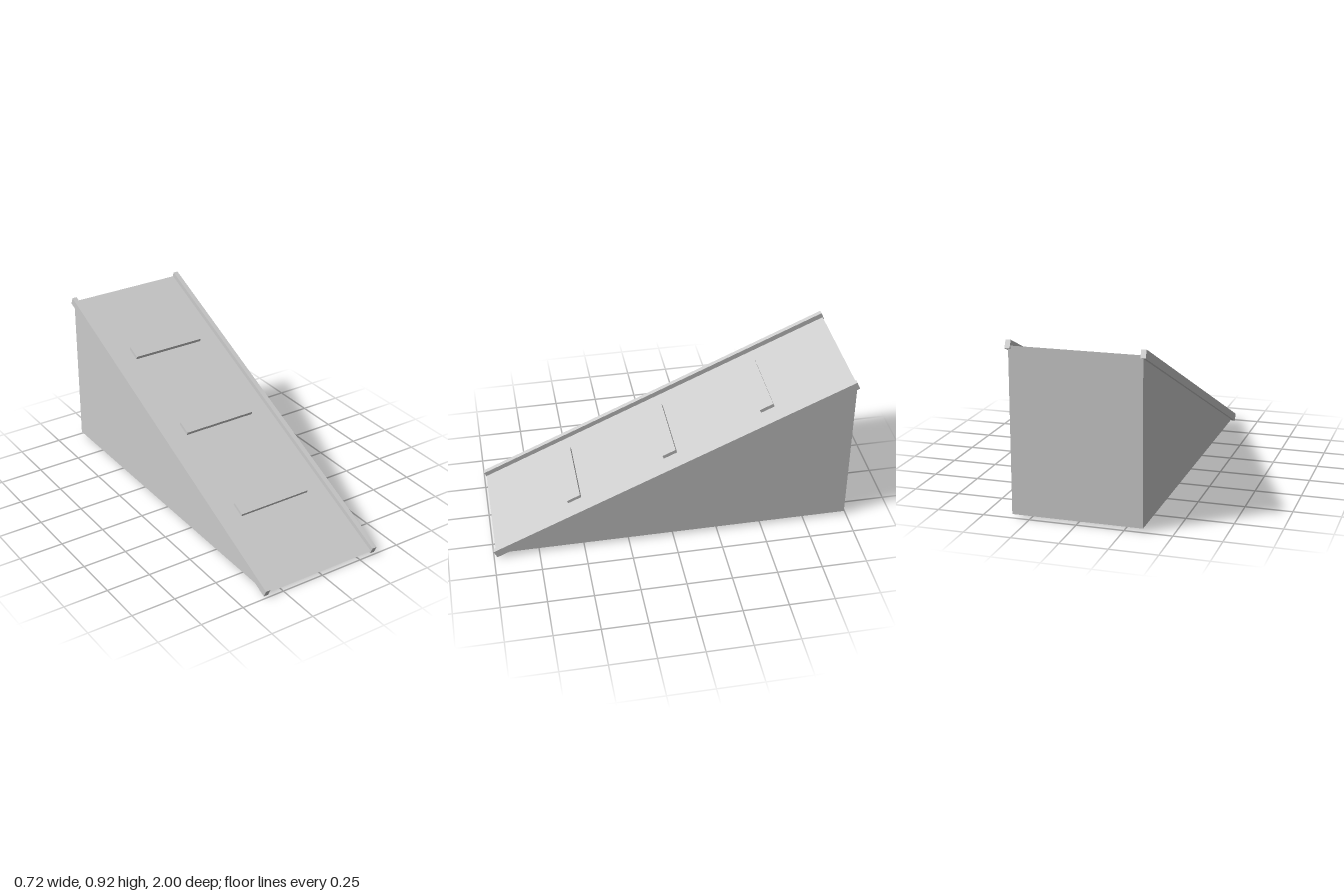
import * as THREE from 'three';

export function createModel() {
  const model = new THREE.Group();
  model.name = 'ramp';
  const grey = new THREE.MeshStandardMaterial({ color: 0xcccccc, flatShading: true });
  grey.name = 'plain grey';
  const slope = THREE.MathUtils.degToRad(24);

  // Boxes that lie along the slope, rising toward the back
  function slopedBox(name, w, h, d, x, y, z) {
    const mesh = new THREE.Mesh(new THREE.BoxGeometry(w, h, d), grey);
    mesh.name = name;
    mesh.position.set(x, y, z);
    mesh.rotation.x = slope;
    model.add(mesh);
  }

  // Solid wedge, drawn as a side profile and extruded across the width
  const profile = new THREE.Shape([
    new THREE.Vector2(-0.987, 0.017),
    new THREE.Vector2(0.99, 0.017),
    new THREE.Vector2(0.99, 0.895),
  ]);
  const wedgeGeometry = new THREE.ExtrudeGeometry(profile, { depth: 0.69, bevelEnabled: false });
  wedgeGeometry.translate(0, 0, -0.345).rotateY(Math.PI / 2);
  const wedge = new THREE.Mesh(wedgeGeometry, grey);
  wedge.name = 'wedge';
  model.add(wedge);

  // Edge rails
  for (const side of [1, -1]) {
    slopedBox(side > 0 ? 'leftRail' : 'rightRail', 0.027, 0.044, 2.17, side * 0.3465, 0.4613, 0);
  }

  // Foot cleats across the slope
  for (let i = -1; i <= 1; i++) {
    slopedBox('cleat' + (i + 2), 0.432, 0.02, 0.08, 0, 0.4685 - i * 0.241, -0.004 + i * 0.535);
  }

  return model;
}
